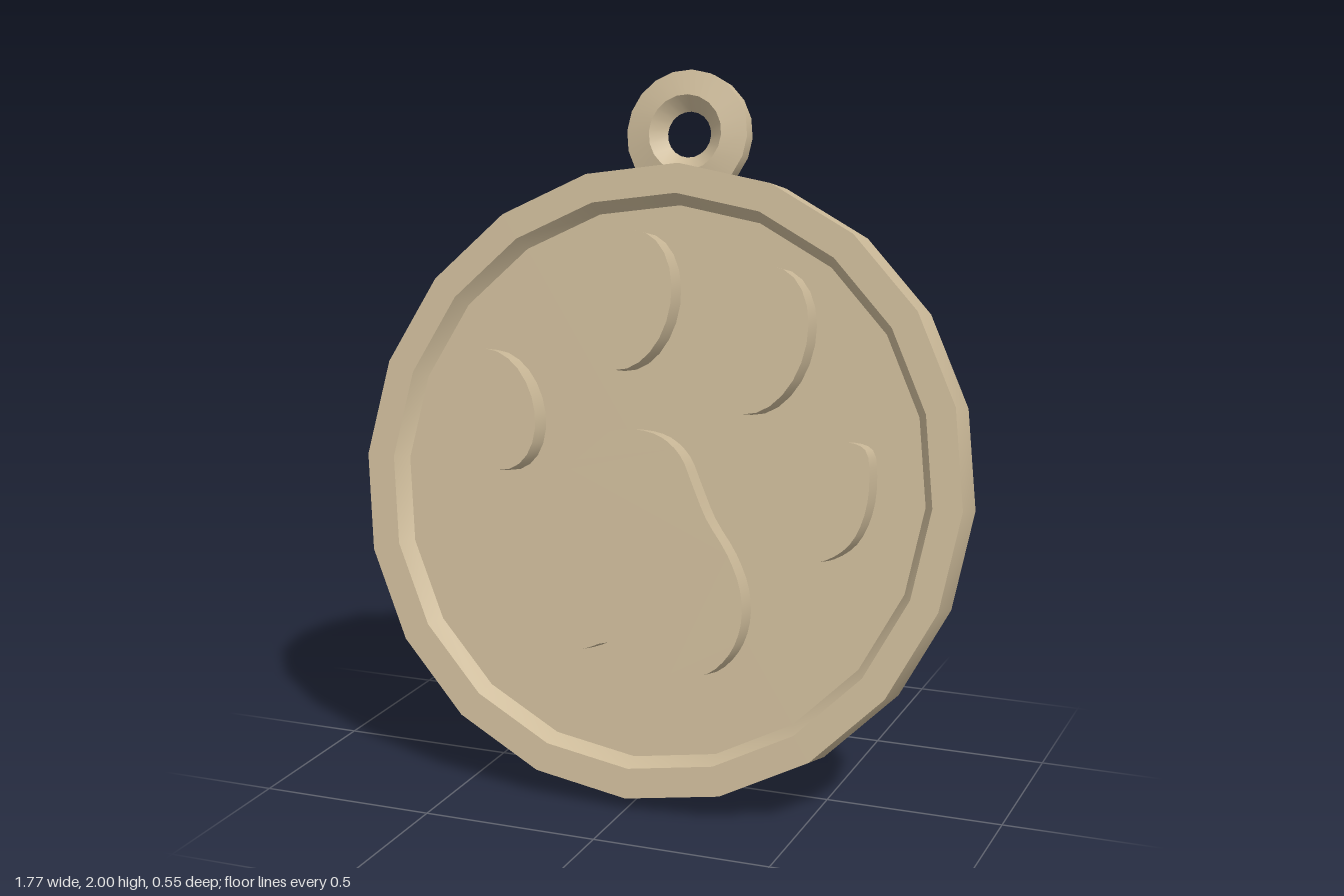
import * as THREE from 'three';
import { toCreasedNormals } from 'three/addons/utils/BufferGeometryUtils.js';

const material = new THREE.MeshStandardMaterial({ color: 0xccba99 });
const HALF = 0.0715;          // half thickness of the disc
const FLOOR = HALF - 0.045;   // recessed face
const PAD_TOP = HALF + 0.032; // raised pads stand just proud of the rim

function mesh(name, geometry, crease = 0.6) {
  const m = new THREE.Mesh(toCreasedNormals(geometry, crease), material);
  m.name = name;
  return m;
}

// Turned part whose axis points to the front
function turned(name, profile, sides) {
  const points = profile.map(([r, z]) => new THREE.Vector2(r, z));
  return mesh(name, new THREE.LatheGeometry(points, sides).rotateX(Math.PI / 2));
}

// Flat raised pad from an outline
function pad(name, points) {
  const depth = PAD_TOP - FLOOR + 0.01;
  const geometry = new THREE.ExtrudeGeometry(new THREE.Shape(points), { depth, bevelEnabled: false });
  return mesh(name, geometry.translate(0, 0, PAD_TOP - depth));
}

// Leaning oval: half width w, half height h, top shifted sideways by lean
function oval(cx, cy, w, h, lean) {
  const a = Math.sqrt(w * w - lean * lean);
  return Array.from({ length: 24 }, (_, i) => {
    const t = (i / 24) * Math.PI * 2;
    return new THREE.Vector2(cx + a * Math.cos(t) + lean * Math.sin(t), cy + h * Math.sin(t));
  });
}

// Smooth closed outline through a few points
function outline(points, count) {
  const curve = new THREE.CatmullRomCurve3(points.map(([x, y]) => new THREE.Vector3(x, y, 0)), true);
  return curve.getPoints(count).slice(0, -1).map(p => new THREE.Vector2(p.x, p.y));
}

export function createModel() {
  const group = new THREE.Group();
  group.name = 'pawPendant';

  // Disc with raised rim and recessed face
  group.add(turned('disc', [
    [0, -HALF], [0.883, -HALF], [0.883, HALF], [0.8, HALF], [0.77, FLOOR], [0, FLOOR],
  ], 20));

  // Hanging ring, five-sided in section
  const ring = turned('hangingRing', [
    [0.064, 0], [0.107, -0.039], [0.178, -0.024], [0.178, 0.024], [0.107, 0.039], [0.064, 0],
  ], 20);
  ring.position.y = 0.97;
  group.add(ring);

  // Toe pads
  group.add(pad('toePadInnerRight', oval(-0.112, 0.494, 0.137, 0.195, 0.012)));
  group.add(pad('toePadInnerLeft', oval(0.283, 0.41, 0.143, 0.203, 0.022)));
  group.add(pad('toePadOuterRight', oval(-0.485, 0.161, 0.135, 0.169, -0.035)));
  group.add(pad('toePadOuterLeft', outline([
    [0.56, 0.156], [0.612, 0.14], [0.63, 0.068], [0.625, -0.034], [0.59, -0.117], [0.53, -0.163],
    [0.48, -0.173], [0.41, -0.142], [0.375, -0.075], [0.375, 0.017], [0.41, 0.089], [0.47, 0.135],
  ], 36)));

  // Main pad
  group.add(pad('mainPad', outline([
    [-0.05, 0.14], [0.03, 0.125], [0.09, 0.079], [0.13, 0.007], [0.18, -0.086], [0.25, -0.178],
    [0.295, -0.271], [0.305, -0.363], [0.28, -0.445], [0.22, -0.507], [0.14, -0.522], [0.06, -0.507],
    [-0.01, -0.476], [-0.08, -0.455], [-0.15, -0.481], [-0.24, -0.491], [-0.33, -0.45], [-0.4, -0.373],
    [-0.42, -0.271], [-0.39, -0.168], [-0.32, -0.086], [-0.25, -0.014], [-0.2, 0.068], [-0.13, 0.125],
  ], 72)));

  // The pendant leans back
  group.rotation.x = -0.229;
  group.position.set(0, 0.878, 0.005);
  const model = new THREE.Group();
  model.name = 'pendant';
  model.add(group);
  return model;
}
